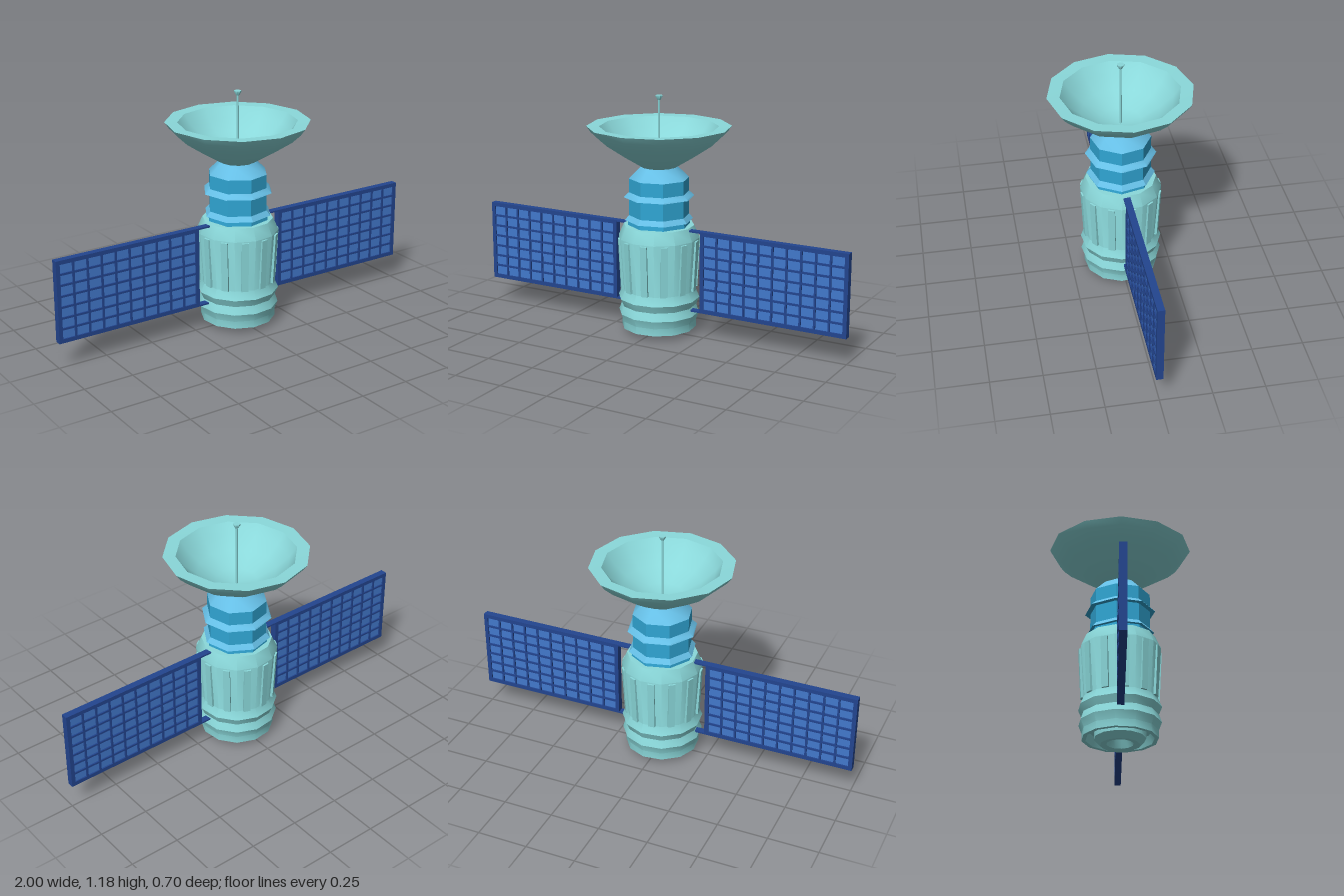
import * as THREE from 'three';
import { toCreasedNormals } from 'three/addons/utils/BufferGeometryUtils.js';

const material = (name, color, side = THREE.FrontSide) => {
  const m = new THREE.MeshStandardMaterial({ color, side });
  m.name = name;
  return m;
};

export function createModel() {
  const teal = material('pale teal', 0x8ad8da, THREE.DoubleSide);
  const blue = material('sky blue', 0x30a6d4, THREE.DoubleSide);
  const lightBlue = material('light blue', 0x66bfe6, THREE.DoubleSide);
  const navy = material('navy frame', 0x23458f);
  const cellBlue = material('cell blue', 0x4279cc);

  const model = new THREE.Group();
  model.name = 'satellite';
  const TWIST = THREE.MathUtils.degToRad(-8);

  const add = (parent, name, geometry, mat, x = 0, y = 0, z = 0) => {
    const mesh = new THREE.Mesh(geometry, mat);
    mesh.name = name;
    mesh.position.set(x, y, z);
    parent.add(mesh);
    return mesh;
  };
  // Faceted body of revolution; corners up to the crease angle stay smooth
  const turned = (name, profile, sides, mat, start = TWIST, crease = 0.6) => {
    const points = profile.map(([r, y]) => new THREE.Vector2(r, y));
    const geometry = new THREE.LatheGeometry(points, sides, start);
    return add(model, name, toCreasedNormals(geometry, crease), mat);
  };

  // Main hull with stepped lower rings and a recessed base
  turned('hull', [
    [0.15, 0.07], [0.165, 0.028], [0.185, 0.028], [0.185, 0.065],
    [0.2, 0.105], [0.186, 0.145], [0.202, 0.182], [0.183, 0.225],
    [0.201, 0.487], [0.174, 0.548], [0.1, 0.55],
  ], 12, teal);
  turned('nozzle', [
    [0, 0.055], [0.045, 0.05], [0.065, 0.005], [0.096, 0],
    [0.125, 0.03], [0.125, 0.07], [0.15, 0.07],
  ], 12, teal);

  // Raised ribs, one on each hull face
  const ribs = new THREE.Group();
  ribs.name = 'hullRibs';
  model.add(ribs);
  for (let i = 0; i < 12; i++) {
    const pivot = new THREE.Group();
    pivot.name = 'ribPivot';
    pivot.rotation.y = TWIST + (i + 0.5) * Math.PI / 6;
    ribs.add(pivot);
    const rib = add(pivot, 'rib', new THREE.BoxGeometry(0.034, 0.255, 0.018), teal, 0, 0.353, 0.187);
    rib.rotation.x = 0.05;
  }

  // Octagonal upper module with sloping collars
  turned('lowerNeck', [[0.155, 0.545], [0.152, 0.572]], 8, blue);
  turned('upperModule', [[0.148, 0.57], [0.148, 0.78]], 8, blue);
  for (const [y, r] of [[0.573, 0.168], [0.688, 0.174]]) {
    turned('collarUnderside', [[0.148, y], [r, y]], 8, blue);
    turned('collar', [[r, y], [r - 0.004, y + 0.005], [0.148, y + 0.024]], 8, lightBlue);
  }
  turned('shoulder', [[0.148, 0.78], [0.09, 0.837], [0, 0.837]], 8, lightBlue);

  // Dish: outer bowl, flat rim and inner bowl
  turned('dishBack', [
    [0, 0.835], [0.085, 0.836], [0.19, 0.9], [0.285, 0.963], [0.33, 1.005], [0.352, 1.036],
  ], 12, teal, 0);
  turned('dishRim', [[0.352, 1.036], [0.29, 1.034]], 12, teal, 0);
  turned('dishBowl', [
    [0.29, 1.034], [0.255, 0.985], [0.19, 0.93], [0.1, 0.88], [0, 0.86],
  ], 12, teal, 0);

  // Antenna mast and its flared tip
  add(model, 'antennaMast', new THREE.CylinderGeometry(0.005, 0.006, 0.31, 8), teal, 0, 1.012, 0);
  turned('antennaTip', [
    [0, 1.163], [0.008, 1.163], [0.018, 1.18], [0.018, 1.185], [0, 1.185],
  ], 8, teal, 0);

  // Solar wings: pierced frame over a thin sheet of cells
  const COLS = 10, ROWS = 7, W = 0.765, H = 0.41, DEPTH = 0.034;
  const pitchX = (W - 0.03) / COLS, pitchY = (H - 0.03) / ROWS;
  const frame = new THREE.Shape([
    new THREE.Vector2(0, 0), new THREE.Vector2(W, 0),
    new THREE.Vector2(W, H), new THREE.Vector2(0, H),
  ]);
  for (let c = 0; c < COLS; c++) {
    for (let r = 0; r < ROWS; r++) {
      const x0 = 0.015 + c * pitchX + 0.005, x1 = x0 + pitchX - 0.01;
      const y0 = 0.015 + r * pitchY + 0.005, y1 = y0 + pitchY - 0.01;
      frame.holes.push(new THREE.Path([
        new THREE.Vector2(x0, y0), new THREE.Vector2(x0, y1),
        new THREE.Vector2(x1, y1), new THREE.Vector2(x1, y0),
      ]));
    }
  }
  const frameGeometry = new THREE.ExtrudeGeometry(frame, { depth: DEPTH, bevelEnabled: false });
  frameGeometry.translate(0.235, 0.13, -DEPTH / 2);

  for (const [name, turn] of [['leftWing', 0], ['rightWing', Math.PI]]) {
    const wing = new THREE.Group();
    wing.name = name;
    wing.rotation.y = turn;
    model.add(wing);
    add(wing, 'panelFrame', frameGeometry, navy);
    add(wing, 'solarCells', new THREE.BoxGeometry(W - 0.02, H - 0.02, 0.02), cellBlue,
      0.235 + W / 2, 0.13 + H / 2, 0);
    // Flat arms joining the wing to the hull
    for (const y of [0.134, 0.536]) {
      add(wing, 'wingArm', new THREE.BoxGeometry(0.1, 0.008, DEPTH), navy, 0.19, y, 0);
    }
  }
  return model;
}
